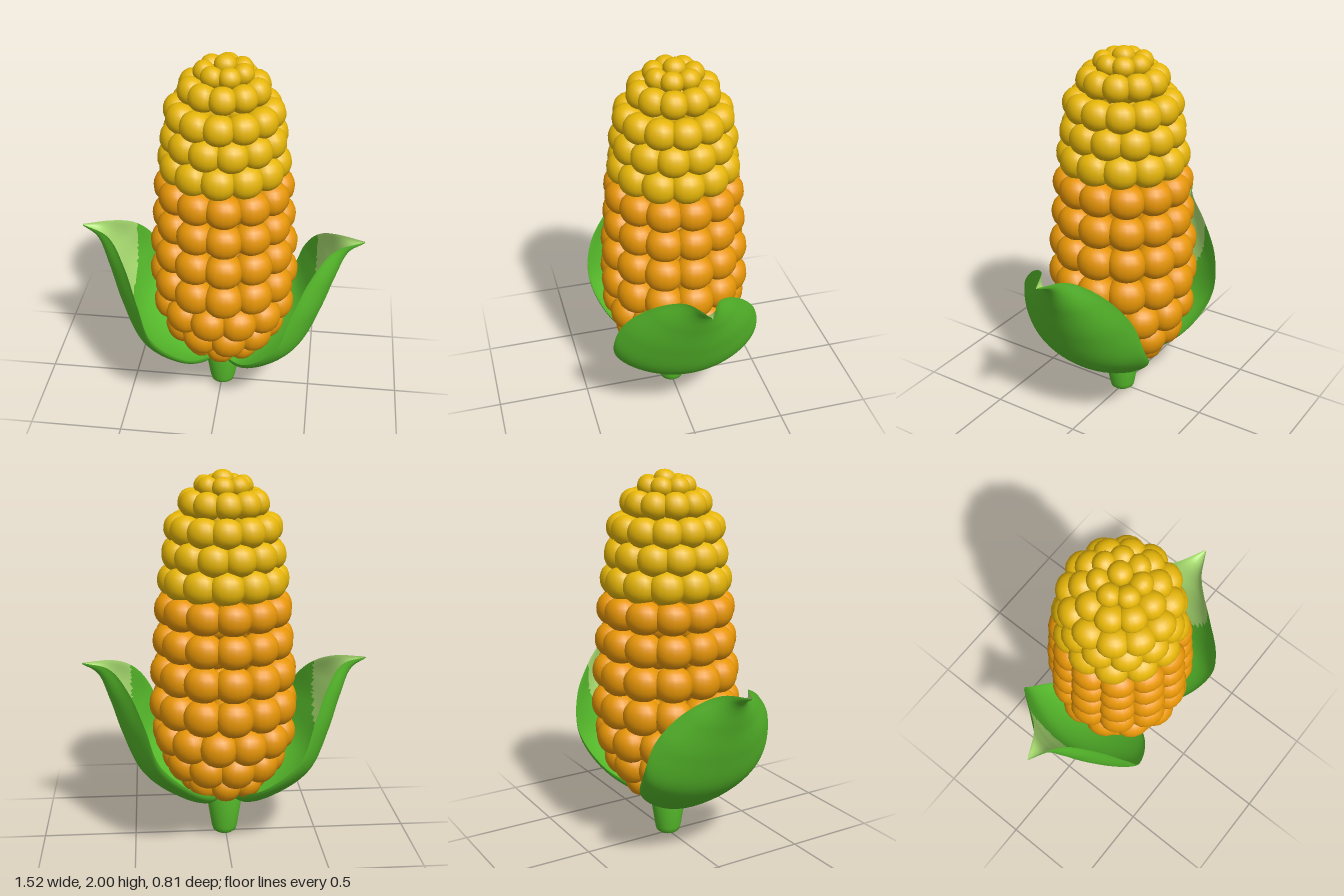
import * as THREE from 'three';
import { mergeVertices } from 'three/addons/utils/BufferGeometryUtils.js';

const mat = (name, color) => {
  const m = new THREE.MeshStandardMaterial({ color });
  m.name = name;
  return m;
};

// Rounded, slightly boxy kernel of unit radius
function kernelGeometry() {
  let g = new THREE.SphereGeometry(1, 16, 12);
  g.deleteAttribute('uv');
  g.deleteAttribute('normal');
  g = mergeVertices(g, 1e-3);
  const p = g.attributes.position;
  const puff = (v) => Math.sign(v) * Math.pow(Math.abs(v), 0.92);
  for (let i = 0; i < p.count; i++) p.setXYZ(i, puff(p.getX(i)), puff(p.getY(i)), puff(p.getZ(i)));
  g.computeVertexNormals();
  return g;
}

// Leaf stations from base to tip: midrib x, y, then rim x, y, half width
const LEAF = [
  [0.02, 0.22, 0.00, 0.25, 0.03],
  [0.12, 0.195, 0.06, 0.28, 0.17],
  [0.31, 0.28, 0.17, 0.37, 0.32],
  [0.47, 0.42, 0.33, 0.55, 0.40],
  [0.56, 0.62, 0.40, 0.74, 0.365],
  [0.62, 0.80, 0.485, 0.89, 0.24],
  [0.68, 0.94, 0.60, 0.98, 0.09],
  [0.76, 0.99, 0.755, 0.995, 0.004],
];

// One face of a cupped leaf; the inner face is set in a little and has a pale upper part
function leafGeometry(inner) {
  const rows = 64, cols = 32, pos = [], green = [], pale = [];
  const mid = new THREE.CatmullRomCurve3(LEAF.map((s) => new THREE.Vector3(s[0], s[1], 0)));
  const rim = new THREE.CatmullRomCurve3(LEAF.map((s) => new THREE.Vector3(s[2], s[3], s[4])));
  for (let i = 0; i <= rows; i++) {
    const a = mid.getPoint(i / rows), b = rim.getPoint(i / rows);
    const bump = Math.sin((Math.PI * i) / rows);
    for (let j = 0; j <= cols; j++) {
      const v = (j / cols) * 2 - 1, k = v * v, s = Math.sin((v * Math.PI) / 2);
      const inset = inner ? 0.014 * (1 - k) * bump : 0;
      // the back half is a little narrower and opens wider
      const rimX = b.x + (v < 0 ? 0.035 * bump : 0);
      pos.push(
        a.x + (rimX - a.x) * s * s - inset,
        a.y + (b.y - a.y) * k + inset,
        b.z * s * (v < 0 ? 0.91 : 1),
      );
    }
  }
  const face = (a, b, c) => {
    const x = (pos[a * 3] + pos[b * 3] + pos[c * 3]) / 3;
    (inner && x > 0.508 ? pale : green).push(a, ...(inner ? [b, c] : [c, b]));
  };
  for (let i = 0; i < rows; i++) {
    for (let j = 0; j < cols; j++) {
      const a = i * (cols + 1) + j, c = a + cols + 1;
      face(a, a + 1, c);
      face(a + 1, c + 1, c);
    }
  }
  const g = new THREE.BufferGeometry();
  g.setAttribute('position', new THREE.Float32BufferAttribute(pos, 3));
  g.setIndex([...green, ...pale]);
  g.addGroup(0, green.length, 0);
  g.addGroup(green.length, pale.length, 1);
  g.computeVertexNormals();
  return g;
}

// Kernel rows: height, outer radius, count, half width, half height, depth, turn (in kernels), tilt
const ROWS = [
  [0.34, 0.24, 8, 0.08, 0.08, 0.08, 0.0, -0.5],
  [0.46, 0.335, 10, 0.097, 0.093, 0.09, 0.33, -0.35],
  [0.605, 0.388, 12, 0.099, 0.095, 0.093, 0.7, -0.12],
  [0.773, 0.4, 12, 0.102, 0.098, 0.093, 0.2, 0],
  [0.95, 0.393, 12, 0.101, 0.094, 0.092, 0.2, 0],
  [1.12, 0.377, 12, 0.098, 0.09, 0.09, 0.2, 0],
  [1.287, 0.366, 12, 0.095, 0.087, 0.088, 0.2, 0.03],
  [1.438, 0.345, 12, 0.09, 0.086, 0.085, 0.0, 0.08],
  [1.575, 0.327, 12, 0.086, 0.082, 0.083, 0.5, 0.1],
  [1.706, 0.308, 12, 0.082, 0.077, 0.08, 0.0, 0.15],
  [1.832, 0.238, 10, 0.071, 0.07, 0.072, 0.1, 0.3],
  [1.915, 0.155, 7, 0.057, 0.053, 0.057, 0.4, 0.6],
];

export function createModel() {
  const model = new THREE.Group();
  model.name = 'cornCob';
  const yellow = mat('yellowKernel', 0xe6b608);
  const orange = mat('orangeKernel', 0xe99706);
  const green = mat('leafGreen', 0x56ba2b);
  const pale = mat('paleLeaf', 0xabdf72);

  // Kernels in rings around the cob
  const kernel = kernelGeometry();
  const cob = new THREE.Group();
  cob.name = 'kernels';
  cob.position.set(0.011, 0, -0.009);
  ROWS.forEach(([y, outer, n, width, half, depth, turn, tilt], r) => {
    const ring = new THREE.Group();
    ring.name = `kernelRow${r + 1}`;
    const radius = outer - depth;
    for (let i = 0; i < n; i++) {
      const m = new THREE.Mesh(kernel, y > 1.36 ? yellow : orange);
      const a = ((i + turn) / n) * Math.PI * 2;
      m.name = 'kernel';
      m.position.set(Math.sin(a) * radius, y, Math.cos(a) * radius);
      m.rotation.set(-tilt, a, 0, 'YXZ');
      m.scale.set(width, half, depth);
      ring.add(m);
    }
    cob.add(ring);
  });
  const tip = new THREE.Mesh(kernel, yellow);
  tip.name = 'tipKernel';
  tip.position.set(0.005, 1.945, -0.005);
  tip.scale.set(0.058, 0.055, 0.058);
  cob.add(tip);
  model.add(cob);

  // Two cupped husk leaves
  const outerFace = leafGeometry(false), innerFace = leafGeometry(true);
  for (const side of [1, -1]) {
    const leaf = new THREE.Group();
    leaf.name = side > 0 ? 'leftLeaf' : 'rightLeaf';
    const out = new THREE.Mesh(outerFace, [green, pale]);
    out.name = 'leafOutside';
    const ins = new THREE.Mesh(innerFace, [green, pale]);
    ins.name = 'leafInside';
    leaf.add(out, ins);
    leaf.scale.x = side;
    model.add(leaf);
  }

  // Tapered stem with a rounded foot
  const profile = [[0, 0], [0.05, 0.004], [0.064, 0.015], [0.071, 0.04], [0.1, 0.22], [0.07, 0.25], [0, 0.255]];
  const stem = new THREE.Mesh(
    new THREE.LatheGeometry(profile.map(([x, y]) => new THREE.Vector2(x, y)), 20), green);
  stem.name = 'stem';
  stem.position.x = 0.006;
  model.add(stem);

  return model;
}
